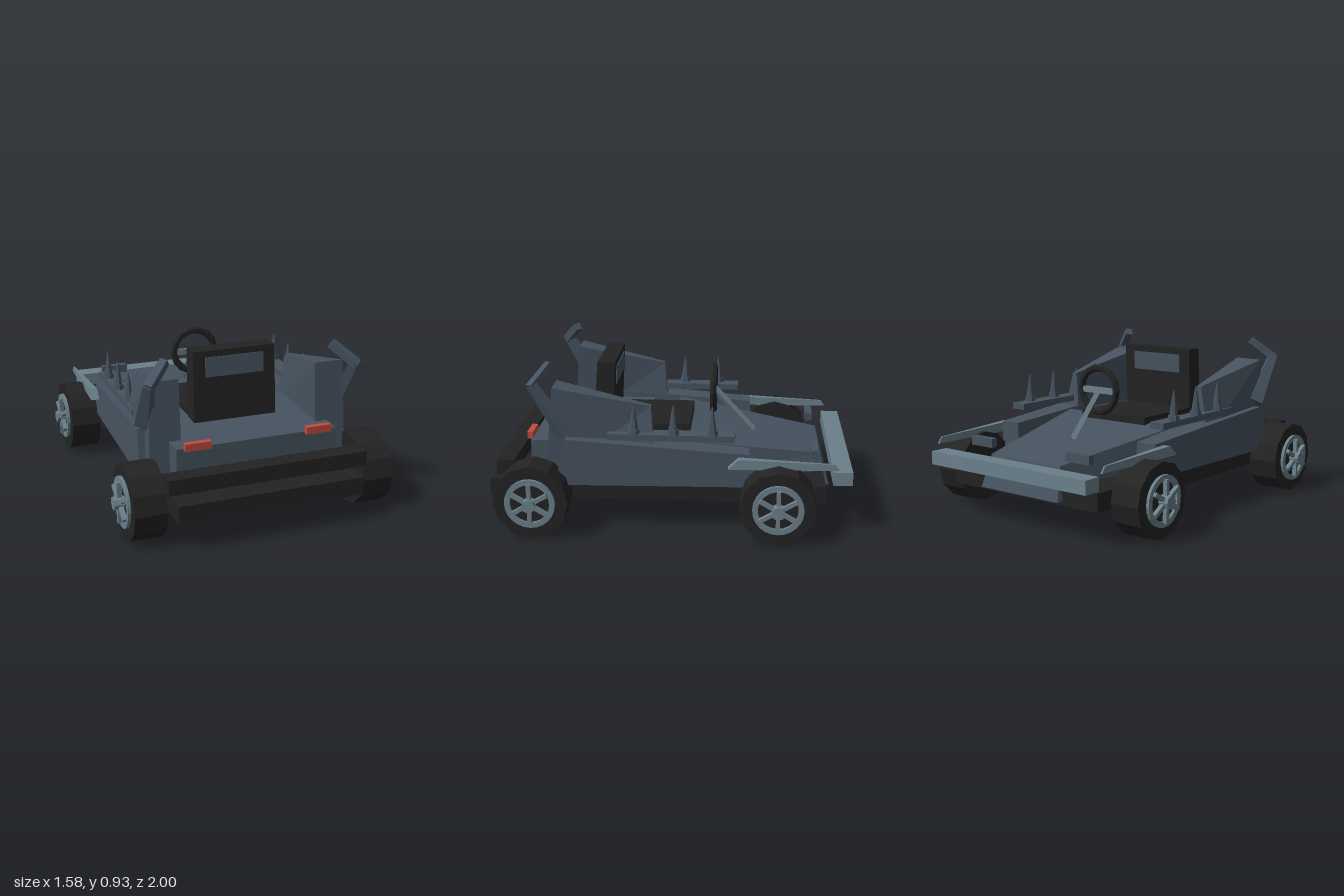
import * as THREE from 'three';

const mat = (name, color) => {
  const m = new THREE.MeshStandardMaterial({ color });
  m.name = name;
  return m;
};

export function createModel() {
  const model = new THREE.Group();
  model.name = 'kart';
  const slate = mat('slate bodywork', 0x465360);
  const steel = mat('pale steel', 0x6b808b);
  const dark = mat('dark rubber', 0x232323);
  const red = mat('red lamp', 0xc04c3f);

  // Adds a faceted mesh
  const add = (name, geo, material, parent = model) => {
    const flat = geo.index ? geo.toNonIndexed() : geo;
    flat.computeVertexNormals();
    const mesh = new THREE.Mesh(flat, material);
    mesh.name = name;
    parent.add(mesh);
    return mesh;
  };

  // Box from its limits
  const block = (name, material, [x0, x1], [y0, y1], [z0, z1], parent) =>
    add(name, new THREE.BoxGeometry(x1 - x0, y1 - y0, z1 - z0)
      .translate((x0 + x1) / 2, (y0 + y1) / 2, (z0 + z1) / 2), material, parent);

  // Skewed box: four edges along x, each [x0, x1, y, z]; side -1 mirrors it
  const wedge = (name, material, lowRear, lowNose, topRear, topNose, side = 1) => {
    const geo = new THREE.BoxGeometry(1, 1, 1);
    const p = geo.attributes.position;
    for (let i = 0; i < p.count; i++) {
      const top = p.getY(i) > 0, rear = p.getZ(i) > 0;
      const edge = top ? (rear ? topRear : topNose) : (rear ? lowRear : lowNose);
      const x = edge[p.getX(i) * side > 0 ? 1 : 0];
      p.setXYZ(i, x * side, edge[2], edge[3]);
    }
    return add(name, geo, material);
  };

  // Tapered bar between two points
  const bar = (name, material, a, b, ra, rb, sides = 4, parent = model) => {
    const from = new THREE.Vector3(...a), to = new THREE.Vector3(...b);
    const dir = to.clone().sub(from);
    const mesh = add(name, new THREE.CylinderGeometry(rb, ra, dir.length(), sides), material, parent);
    mesh.position.copy(from).add(to).multiplyScalar(0.5);
    mesh.quaternion.setFromUnitVectors(new THREE.Vector3(0, 1, 0), dir.normalize());
    return mesh;
  };

  // Chassis and bumpers
  block('chassisFloor', dark, [-0.52, 0.52], [0.16, 0.26], [-0.86, 1]);
  block('rearBumper', dark, [-0.555, 0.555], [0.3, 0.385], [0.85, 0.95]);
  block('noseBumper', steel, [-0.56, 0.56], [0.285, 0.36], [-1, -0.895]);

  // Central body
  wedge('hood', slate, [-0.45, 0.45, 0.25, 0], [-0.28, 0.28, 0.18, -0.895],
    [-0.42, 0.42, 0.48, 0], [-0.25, 0.25, 0.36, -0.84]);
  block('rearDeck', slate, [-0.455, 0.455], [0.265, 0.47], [0.16, 0.775]);

  // Seat with a panel on both faces of the backrest
  block('seatBase', dark, [-0.235, 0.235], [0.3, 0.51], [-0.1, 0.34]);
  wedge('seatBack', dark, [-0.24, 0.24, 0.45, 0.455], [-0.24, 0.24, 0.45, 0.345],
    [-0.24, 0.24, 0.865, 0.425], [-0.24, 0.24, 0.865, 0.325]);
  wedge('seatPanelRear', slate, [-0.17, 0.17, 0.72, 0.441], [-0.17, 0.17, 0.72, 0.433],
    [-0.17, 0.17, 0.83, 0.433], [-0.17, 0.17, 0.83, 0.425]);
  wedge('seatPanelFront', slate, [-0.17, 0.17, 0.72, 0.335], [-0.17, 0.17, 0.72, 0.327],
    [-0.17, 0.17, 0.83, 0.33], [-0.17, 0.17, 0.83, 0.322]);

  // Steering
  add('steeringWheel', new THREE.TorusGeometry(0.128, 0.021, 6, 14), dark).position.set(0, 0.665, -0.225);
  block('steeringCrossbar', steel, [-0.12, 0.12], [0.645, 0.68], [-0.235, -0.218]);
  bar('steeringColumn', steel, [0, 0.66, -0.23], [0, 0.41, -0.46], 0.02, 0.02);

  for (const s of [1, -1]) {
    const span = (a, b) => (s > 0 ? [a, b] : [-b, -a]);

    // Side pod and the tall fin on its rear half
    wedge('sidePod', slate, [0.4, 0.605, 0.265, 0.62], [0.43, 0.57, 0.265, -0.44],
      [0.41, 0.6, 0.525, 0.56], [0.445, 0.565, 0.45, -0.44], s);
    wedge('rearFin', slate, [0.39, 0.57, 0.27, 0.675], [0.42, 0.55, 0.4, 0.08],
      [0.39, 0.555, 0.8, 0.63], [0.455, 0.485, 0.69, 0.1], s);

    // Bent horn behind the fin
    bar('hornLower', slate, [s * 0.56, 0.55, 0.56], [s * 0.58, 0.82, 0.73], 0.055, 0.032);
    bar('hornUpper', slate, [s * 0.585, 0.805, 0.735], [s * 0.47, 0.91, 0.65], 0.034, 0.03);

    // Spiked rail
    block('spikeRail', slate, span(0.47, 0.56), [0.515, 0.55], [-0.36, 0.335]);
    for (const z of [-0.235, -0.025, 0.19]) {
      bar('spikeBase', slate, [s * 0.535, 0.54, z], [s * 0.535, 0.575, z], 0.034, 0.03, 6);
      bar('spike', slate, [s * 0.535, 0.57, z], [s * 0.535, 0.71, z], 0.025, 0.004, 6);
    }

    // Blade running from the pod to the nose
    wedge('sideBlade', steel, [0.575, 0.625, 0.385, -0.325], [0.59, 0.6, 0.385, -0.92],
      [0.575, 0.62, 0.44, -0.38], [0.59, 0.6, 0.42, -0.895], s);

    // Lamps
    block('noseLamp', slate, span(0.27, 0.43), [0.385, 0.435], [-0.82, -0.78]);
    block('tailLamp', red, span(0.27, 0.415), [0.462, 0.503], [0.77, 0.803]);

    // Wheels, built along +x and turned for the other side
    for (const z of [0.735, -0.597]) {
      const wheel = new THREE.Group();
      wheel.name = z > 0 ? 'rearWheel' : 'noseWheel';
      wheel.position.set(0, 0.205, z);
      wheel.rotation.y = s > 0 ? 0 : Math.PI;
      model.add(wheel);
      const disc = (name, material, x0, x1, r, sides) =>
        add(name, new THREE.CylinderGeometry(r, r, x1 - x0, sides)
          .rotateZ(-Math.PI / 2).translate((x0 + x1) / 2, 0, 0), material, wheel);
      disc('tyre', dark, 0.555, 0.73, 0.205, 12);
      const ring = new THREE.Shape().absarc(0, 0, 0.138, 0, Math.PI * 2);
      ring.holes.push(new THREE.Path().absarc(0, 0, 0.108, 0, Math.PI * 2, true));
      add('rim', new THREE.ExtrudeGeometry(ring, { depth: 0.02, bevelEnabled: false, curveSegments: 12 })
        .rotateY(Math.PI / 2).translate(0.727, 0, 0), steel, wheel);
      for (let i = 0; i < 6; i++) {
        add('spoke', new THREE.BoxGeometry(0.025, 0.11, 0.022)
          .translate(0.753, 0.06, 0).rotateX(i * Math.PI / 3), steel, wheel);
      }
      disc('hub', steel, 0.725, 0.788, 0.037, 8);
      disc('axle', steel, 0.05, 0.56, 0.025, 8);
    }
  }
  return model;
}
